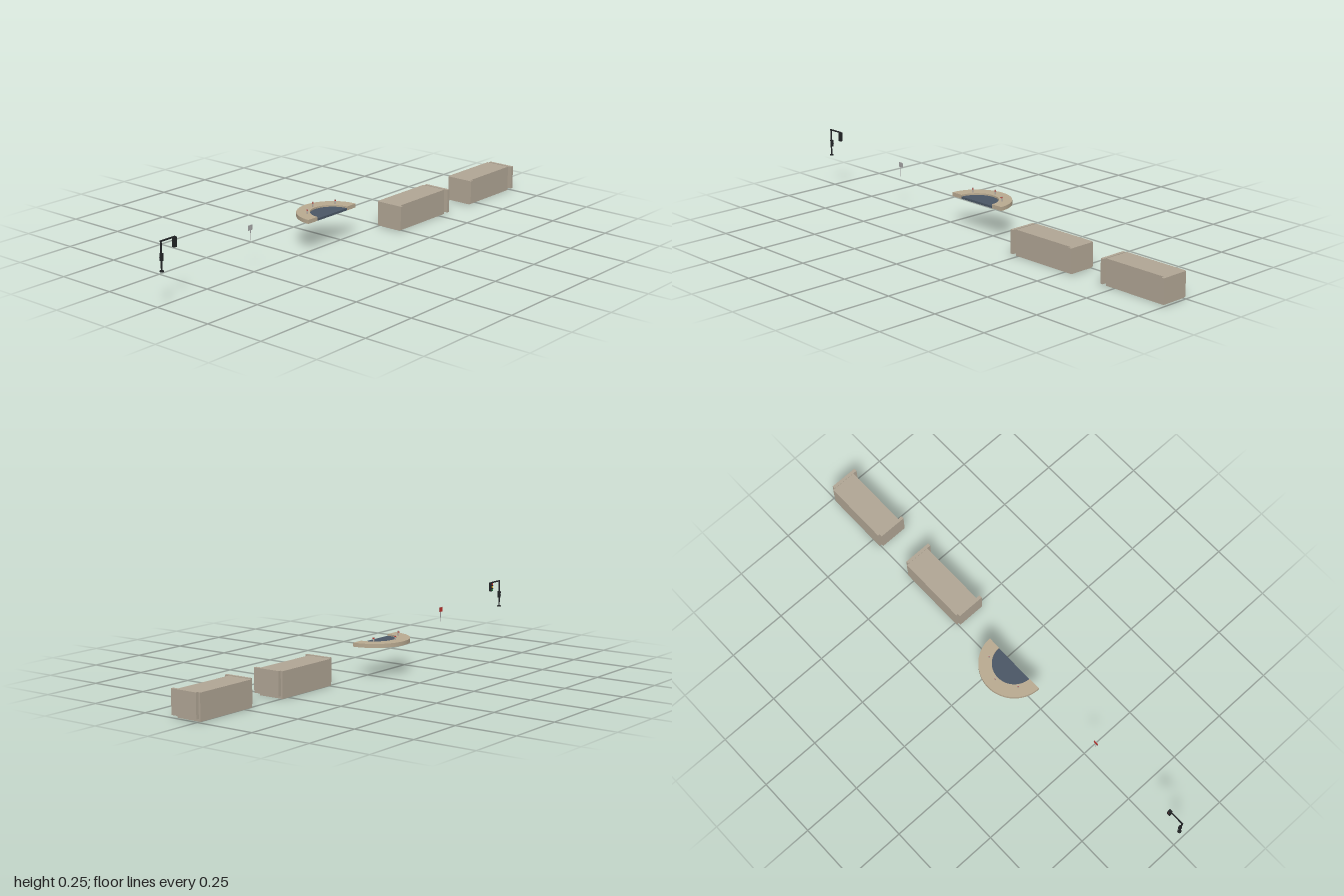
import * as THREE from 'three';

const paint = (color) => new THREE.MeshStandardMaterial({ color });
const stone = paint(0xb0a594), ringStone = paint(0xb8a990), slate = paint(0x4a5665);
const black = paint(0x222426), steel = paint(0xa5a5a5), red = paint(0xc0302a);
const amber = paint(0xd9a520), green = paint(0x2fa050), post = paint(0xb5aca2);

function add(parent, name, geometry, material, x, y, z) {
  const mesh = new THREE.Mesh(geometry, material);
  mesh.name = name;
  mesh.position.set(x, y, z);
  parent.add(mesh);
  return mesh;
}

// Box given by its minimum and maximum corners
function span(parent, name, material, [x0, y0, z0], [x1, y1, z1]) {
  return add(parent, name, new THREE.BoxGeometry(x1 - x0, y1 - y0, z1 - z0), material,
    (x0 + x1) / 2, (y0 + y1) / 2, (z0 + z1) / 2);
}

function rod(parent, name, material, radius, height, x, yBase, z) {
  return add(parent, name, new THREE.CylinderGeometry(radius, radius, height, 16), material,
    x, yBase + height / 2, z);
}

function group(parent, name) {
  const g = new THREE.Group();
  g.name = name;
  parent.add(g);
  return g;
}

// Long block held between two end panels that stand forward of it
function block(parent, name, x0, x1) {
  const g = group(parent, name), t = 0.013;
  span(g, 'body', stone, [x0 + t, 0, -0.004], [x1 - t, 0.105, 0.105]);
  span(g, 'rightEndPanel', stone, [x0, 0.01, 0.004], [x0 + t, 0.107, 0.122]);
  span(g, 'leftEndPanel', stone, [x1 - t, 0.01, 0.004], [x1, 0.107, 0.122]);
}

// Half-disc slab in plan, bulging to the back
function halfDisc(outer, inner, height) {
  const shape = new THREE.Shape();
  shape.absarc(0, 0, outer, 0, Math.PI, false);
  if (inner) shape.absarc(0, 0, inner, Math.PI, 0, true);
  shape.closePath();
  return new THREE.ExtrudeGeometry(shape, { depth: height, bevelEnabled: false, curveSegments: 32 })
    .rotateX(-Math.PI / 2);
}

// Signal housing with round lenses on its back face
function signal(parent, name, x, y0, y1, z0, z1, width, lenses) {
  const g = group(parent, name);
  span(g, 'housing', black, [x - width / 2, y0, z0], [x + width / 2, y1, z1]);
  const step = (y1 - y0) / lenses.length;
  lenses.forEach((material, i) => {
    const y = y1 - step * (i + 0.5);
    add(g, 'lens', new THREE.CylinderGeometry(0.0042, 0.0042, 0.002, 16).rotateX(Math.PI / 2),
      material, x, y, z0 - 0.0008);
    // Hood over the lens
    span(g, 'hood', black, [x - 0.0045, y + 0.0038, z0 - 0.003], [x + 0.0045, y + 0.0048, z0]);
  });
}

export function createModel() {
  const model = new THREE.Group();
  model.name = 'streetFurniture';

  block(model, 'innerBlock', 0.227, 0.547);
  block(model, 'outerBlock', 0.697, 1.0);

  // Semicircular kerb with a sunken floor and bollards
  const island = group(model, 'island');
  island.position.set(-0.073, 0.122, 0.02);
  add(island, 'kerb', halfDisc(0.141, 0.088, 0.016), ringStone, 0, 0, 0);
  add(island, 'floor', halfDisc(0.088, 0, 0.009), slate, 0, 0, 0);
  for (const degrees of [34, 90, 146]) {
    const a = THREE.MathUtils.degToRad(degrees);
    const x = 0.101 * Math.cos(a), z = -0.101 * Math.sin(a);
    rod(island, 'bollard', post, 0.003, 0.02, x, 0.016, z);
    rod(island, 'bollardBand', red, 0.0033, 0.004, x, 0.029, z);
  }

  // Small road sign, its red face to the back
  const sign = group(model, 'roadSign');
  rod(sign, 'signPost', steel, 0.0015, 0.058, -0.535, 0.136, 0.019);
  span(sign, 'signPlate', steel, [-0.546, 0.176, 0.0165], [-0.524, 0.196, 0.018]);
  span(sign, 'signFace', red, [-0.545, 0.177, 0.0157], [-0.525, 0.195, 0.0165]);

  // Traffic light with an overhanging arm
  const light = group(model, 'trafficLight');
  rod(light, 'base', black, 0.008, 0.004, -0.992, 0.136, 0.02);
  rod(light, 'pole', black, 0.0032, 0.114, -0.992, 0.138, 0.02);
  span(light, 'arm', black, [-0.995, 0.247, 0.0175], [-0.923, 0.252, 0.0225]);
  signal(light, 'hangingSignal', -0.927, 0.212, 0.25, 0.015, 0.026, 0.014, [red, amber, green]);
  signal(light, 'poleSignal', -0.99, 0.176, 0.204, 0.0145, 0.023, 0.011, [black, black]);

  return model;
}
